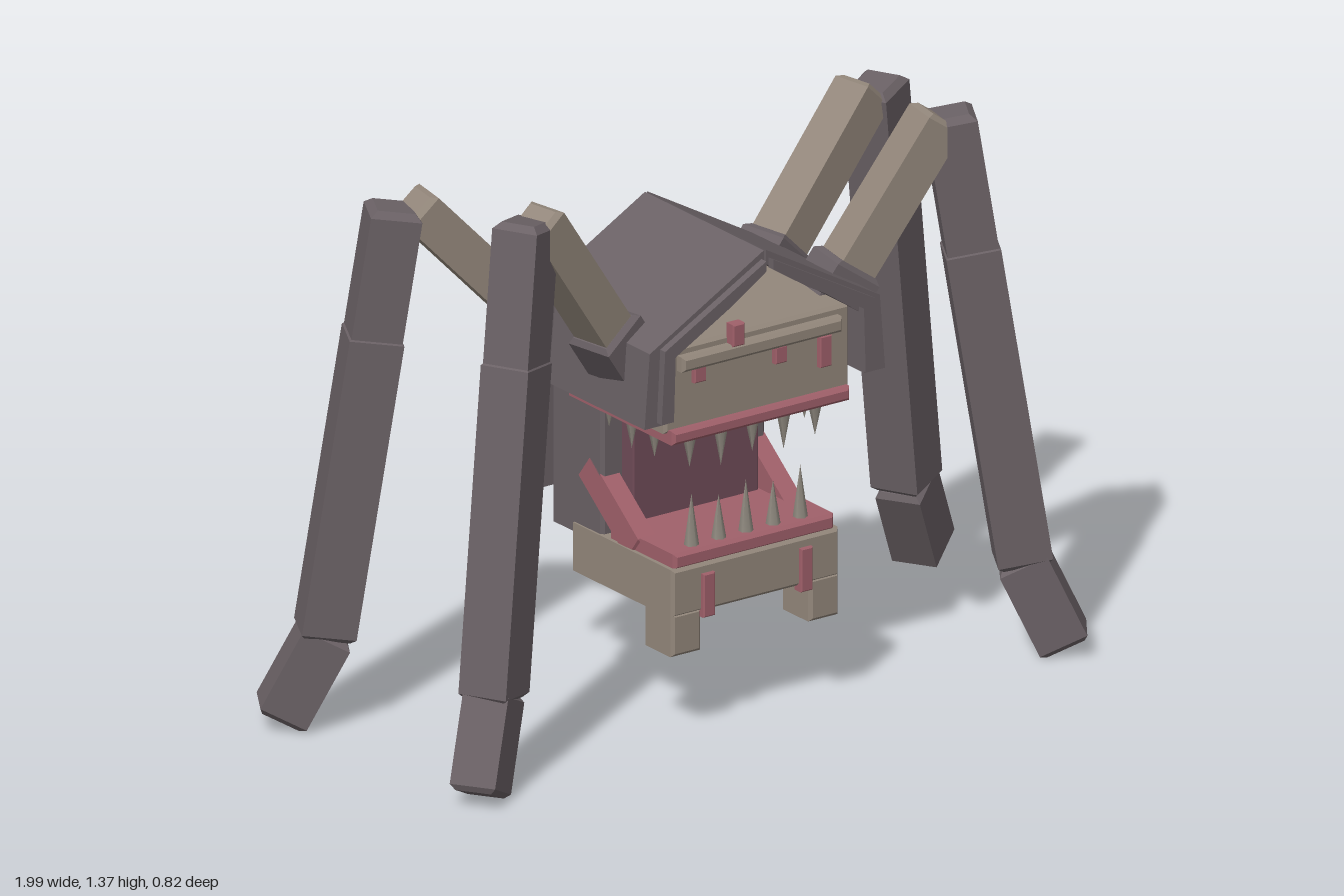
import * as THREE from 'three';

const paint = (name, color) => {
  const m = new THREE.MeshStandardMaterial({ color });
  m.name = name;
  return m;
};

export function createModel() {
  const model = new THREE.Group();
  model.name = 'spiderWalker';
  const grey = paint('armourGrey', 0x6a6165);
  const tan = paint('boneTan', 0x93877b);
  const pink = paint('gumPink', 0xa0606a);
  const throatRed = paint('throatMaroon', 0x6f4b57);
  const toothColor = paint('toothGrey', 0x8f897f);

  const add = (name, geometry, material, parent = model) => {
    const mesh = new THREE.Mesh(geometry, material);
    mesh.name = name;
    parent.add(mesh);
    return mesh;
  };

  // Box with chamfered edges, centred on the origin
  const chamferBox = (w, h, d, c = 0.01) => {
    const x = w / 2 - c, y = h / 2 - c;
    const shape = new THREE.Shape([[-x, -y], [x, -y], [x, y], [-x, y]].map(p => new THREE.Vector2(...p)));
    return new THREE.ExtrudeGeometry(shape, {
      depth: d - 2 * c, bevelEnabled: true, bevelSize: c, bevelThickness: c, bevelSegments: 1,
    }).translate(0, 0, c - d / 2);
  };

  // Block given by its x, y and z ranges
  const block = (name, material, [x0, x1], [y0, y1], [z0, z1], c = 0.008) => {
    const mesh = add(name, chamferBox(x1 - x0, y1 - y0, z1 - z0, c), material);
    mesh.position.set((x0 + x1) / 2, (y0 + y1) / 2, (z0 + z1) / 2);
    return mesh;
  };

  // Prism of an x/y outline between two z values; side -1 mirrors it
  const prism = (name, material, points, z0, z1, side = 1) => {
    const shape = new THREE.Shape(points.map(([x, y]) => new THREE.Vector2(x * side, y)));
    const geo = new THREE.ExtrudeGeometry(shape, { depth: z1 - z0, bevelEnabled: false });
    return add(name, geo.translate(0, 0, z0), material);
  };

  // Chamfered beam from a to b
  const beam = (name, material, a, b, w, h, parent, c = 0.012) => {
    const dir = b.clone().sub(a), length = dir.length();
    dir.normalize();
    const across = new THREE.Vector3(0, 1, 0).cross(dir).normalize();
    const up = dir.clone().cross(across);
    const mesh = add(name, chamferBox(w, h, length, c), material, parent);
    mesh.quaternion.setFromRotationMatrix(new THREE.Matrix4().makeBasis(across, up, dir));
    mesh.position.copy(a).lerp(b, 0.5);
  };

  // Roof shell and its front edge trim, two mirrored halves
  const roof = [[0.003, 1.2], [0.33, 1.015], [0.345, 0.83], [0.285, 0.83], [0.28, 0.98], [0.12, 1.09], [0.003, 1.165]];
  const trim = [[0.01, 1.18], [0.3, 1.02], [0.31, 0.84], [0.275, 0.84], [0.27, 1.0], [0.11, 1.09], [0.01, 1.155]];
  for (const side of [1, -1]) {
    prism('roofHalf', grey, roof, -0.17, 0.3, side);
    prism('roofTrim', grey, trim, 0.3, 0.32, side);
  }

  // Head block, brow bar and upper lip
  block('head', tan, [-0.265, 0.265], [0.79, 1.0], [-0.22, 0.27]);
  block('browBar', tan, [-0.23, 0.23], [0.942, 0.98], [0.26, 0.295]);
  block('upperLip', pink, [-0.255, 0.255], [0.765, 0.8], [-0.13, 0.29]);

  // Back panel, rear box and throat
  prism('backPanel', grey, [[-0.27, 1.01], [-0.305, 0.51], [0.305, 0.51], [0.27, 1.01]], -0.245, -0.215);
  block('rearBox', grey, [-0.235, 0.235], [0.42, 0.8], [-0.22, -0.02]);
  block('throat', throatRed, [-0.18, 0.18], [0.45, 0.79], [-0.02, 0.028], 0.004);

  // Lower jaw with gum, cheeks and stubby feet
  block('lowerJaw', tan, [-0.24, 0.24], [0.325, 0.445], [-0.135, 0.265]);
  block('lowerGum', pink, [-0.23, 0.23], [0.44, 0.48], [0.0, 0.26]);
  for (const side of [1, -1]) {
    const foot = block('jawFoot', tan, [0.155, 0.24], [0.228, 0.335], [0.15, 0.265]);
    foot.position.x *= side;
    const cheek = add('cheek', chamferBox(0.05, 0.075, 0.25, 0.005), pink);
    cheek.position.set(0.21 * side, 0.522, 0.005);
    cheek.rotation.x = 0.66;
  }

  // Pink drips on the face and jaw: x, bottom, top, front z
  const drips = [
    [-0.07, 0.975, 1.03, 0.295], [-0.172, 0.905, 0.945, 0.285], [0.06, 0.9, 0.943, 0.285],
    [0.188, 0.862, 0.94, 0.285], [-0.14, 0.312, 0.42, 0.275], [0.14, 0.312, 0.42, 0.275],
  ];
  for (const [x, y0, y1, z] of drips) {
    block('drip', pink, [x - 0.017, x + 0.017], [y0, y1], [z - 0.03, z], 0.003);
  }

  // Teeth
  const tooth = (name, x, y, z, height, down) => {
    const geo = new THREE.ConeGeometry(0.018, height, 6).translate(0, height / 2, 0);
    const mesh = add(name, geo, toothColor);
    mesh.position.set(x, y, z);
    if (down) mesh.rotation.x = Math.PI;
  };
  for (let i = -2; i <= 2; i++) {
    tooth('lowerTooth', i * 0.078, 0.478, 0.225, i % 2 ? 0.11 : 0.13, false);
    tooth('upperTooth', i * 0.09, 0.77, 0.25, i % 2 ? 0.1 : 0.085, true);
  }
  for (const side of [1, -1]) {
    tooth('upperSideTooth', 0.215 * side, 0.77, 0.16, 0.08, true);
    tooth('upperSideTooth', 0.215 * side, 0.77, 0.07, 0.085, true);
    tooth('upperSideTooth', 0.215 * side, 0.77, -0.02, 0.06, true);
  }

  // Four legs: shoulder, elbow, top, ankle, tip
  const legs = {
    frontLeg: [[0.29, 0.95, 0.135], [0.58, 1.37, 0.185], [0.605, 1.375, 0.19], [0.76, 0.25, 0.275], [0.84, 0.045, 0.33]],
    backLeg: [[0.29, 0.92, -0.135], [0.65, 1.305, -0.2], [0.69, 1.305, -0.215], [0.835, 0.25, -0.29], [0.925, 0.05, -0.345]],
  };
  for (const [name, joints] of Object.entries(legs)) {
    for (const side of [1, -1]) {
      const leg = new THREE.Group();
      leg.name = name;
      model.add(leg);
      const [shoulder, elbow, top, ankle, tip] = joints.map(([x, y, z]) => new THREE.Vector3(x * side, y, z));
      const at = (a, b, t) => a.clone().lerp(b, t);
      beam('socket', grey, at(shoulder, elbow, -0.05), at(shoulder, elbow, 0.22), 0.13, 0.13, leg);
      beam('upperArm', tan, shoulder, elbow, 0.105, 0.1, leg);
      beam('legCap', grey, top, at(top, ankle, 0.32), 0.115, 0.122, leg, 0.016);
      beam('shin', grey, at(top, ankle, 0.29), ankle, 0.122, 0.13, leg);
      beam('foot', grey, at(ankle, tip, -0.06), tip, 0.112, 0.122, leg);
    }
  }
  return model;
}
